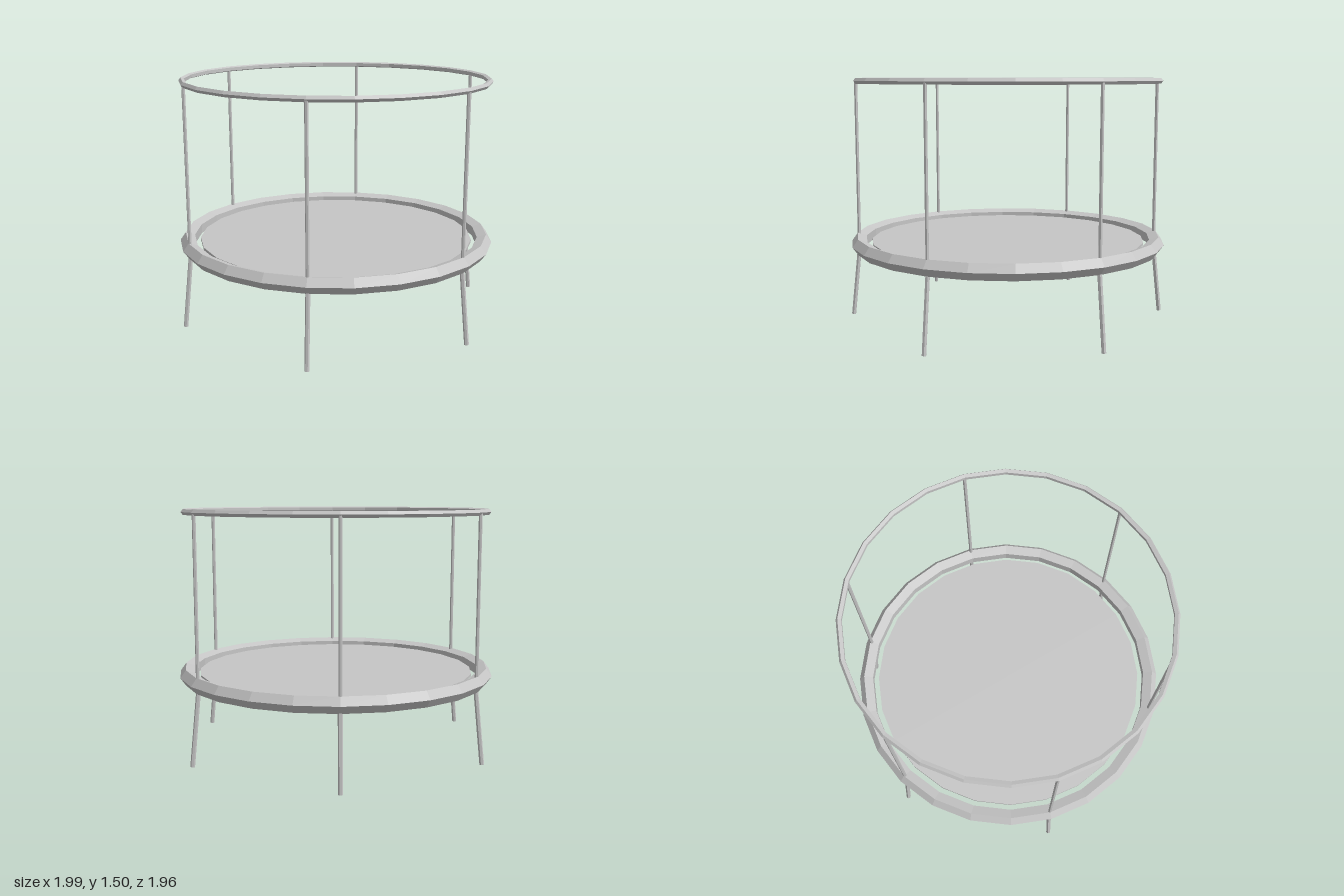
import * as THREE from 'three';

export function createModel() {
  const model = new THREE.Group();
  model.name = 'trampoline';

  const grey = new THREE.MeshStandardMaterial({ color: 0xc6c6c6, flatShading: true });
  grey.name = 'light grey';

  const add = (name, geometry) => {
    const mesh = new THREE.Mesh(geometry, grey);
    mesh.name = name;
    model.add(mesh);
    return mesh;
  };

  // Horizontal ring with a five-sided section
  const ring = (name, radius, tube, y) => {
    const geometry = new THREE.TorusGeometry(radius, tube, 5, 24);
    geometry.rotateX(Math.PI / 2);
    add(name, geometry).position.y = y;
  };

  // Straight pole between two points
  const pole = (name, from, to, radius) => {
    const dir = to.clone().sub(from);
    const mesh = add(name, new THREE.CylinderGeometry(radius, radius, dir.length(), 6));
    mesh.position.copy(from).add(to).multiplyScalar(0.5);
    mesh.quaternion.setFromUnitVectors(new THREE.Vector3(0, 1, 0), dir.normalize());
  };

  // Padded frame, top rail and jumping mat
  ring('frameRing', 0.931, 0.05, 0.482);
  ring('topRail', 0.934, 0.018, 1.48);
  add('mat', new THREE.CylinderGeometry(0.855, 0.855, 0.016, 24)).position.y = 0.485;

  // Six uprights, each above a splayed leg
  for (let i = 0; i < 6; i++) {
    const a = (i * Math.PI) / 3;
    const at = (r, y) => new THREE.Vector3(Math.cos(a) * r, y, Math.sin(a) * r);
    pole('upright', at(0.938, 0.48), at(0.938, 1.48), 0.011);
    pole('leg', at(0.984, 0.002), at(0.932, 0.48), 0.014);
  }

  return model;
}
